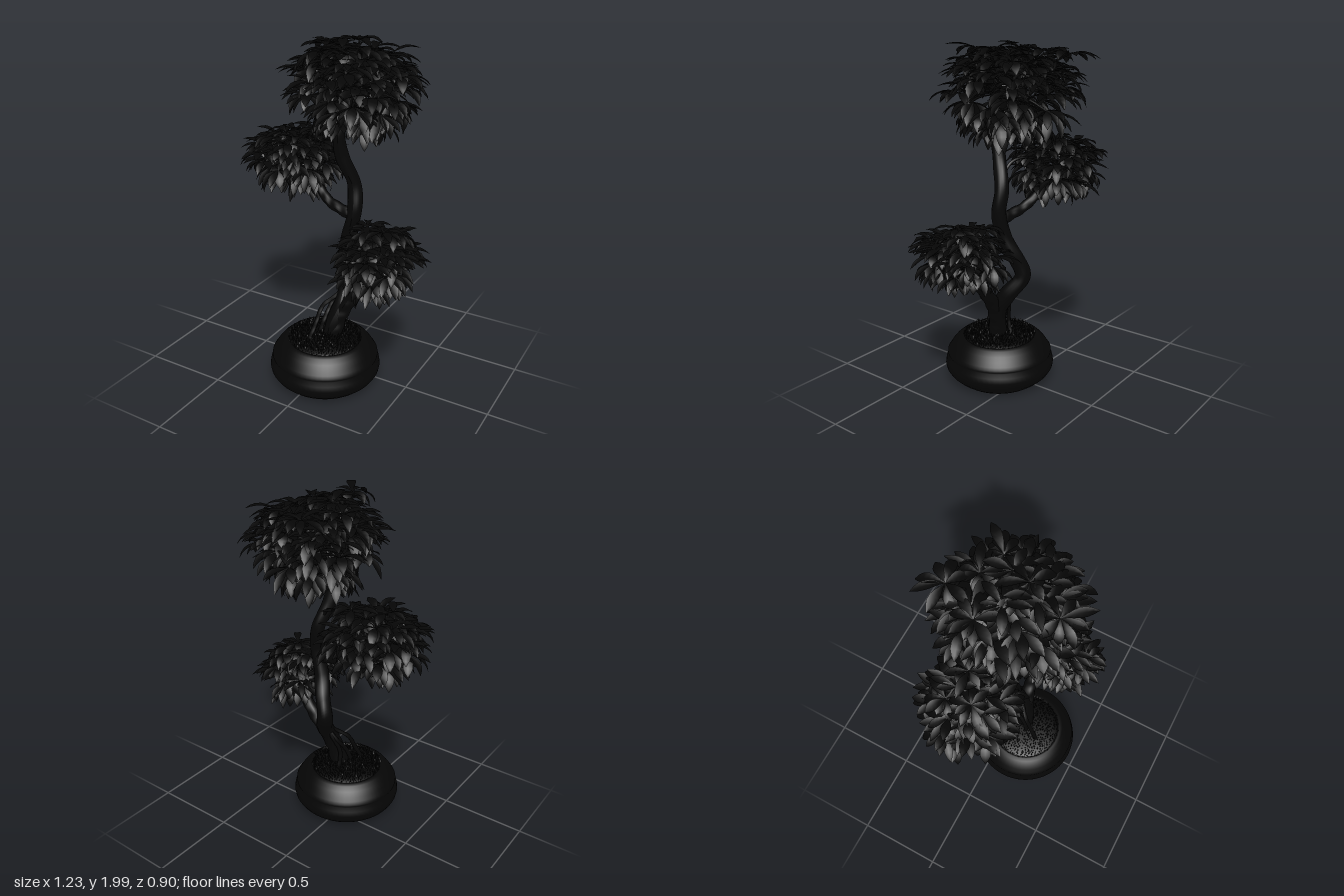
import * as THREE from 'three';

let seed = 7;
const rand = () => {
  seed = (seed * 16807) % 2147483647;
  return seed / 2147483647;
};
const vary = (a, b) => a + (b - a) * rand();
const V = (p) => new THREE.Vector3(...p);

const dark = (side = THREE.FrontSide) => new THREE.MeshStandardMaterial({ color: 0x050505, side });
const solid = dark();
const thin = dark(THREE.DoubleSide);

function add(parent, name, geometry, material = solid) {
  const mesh = new THREE.Mesh(geometry, material);
  mesh.name = name;
  parent.add(mesh);
  return mesh;
}

// Tapered, slightly knotty limb along a smooth path
function limb(points, r0, r1, seg = 48, sides = 12) {
  const curve = new THREE.CatmullRomCurve3(points.map(V));
  const geo = new THREE.TubeGeometry(curve, seg, 1, sides, false);
  const pos = geo.attributes.position, v = new THREE.Vector3();
  for (let i = 0; i <= seg; i++) {
    const t = i / seg, c = curve.getPointAt(t);
    for (let j = 0; j <= sides; j++) {
      const k = i * (sides + 1) + j;
      const knot = 1 + 0.06 * Math.sin(t * 40 + 3 * Math.sin((j / sides) * Math.PI * 2));
      v.fromBufferAttribute(pos, k).sub(c).multiplyScalar((r0 + (r1 - r0) * t) * knot).add(c);
      pos.setXYZ(k, v.x, v.y, v.z);
    }
  }
  geo.computeVertexNormals();
  return geo;
}

// Adds one arching leaf: a folded oval strip whose pitch falls from the stem to the tip
function pushLeaf(data, base, azimuth, pitch, droop, length, width) {
  const steps = 6, first = data.pos.length / 3;
  const cx = Math.cos(azimuth), cz = Math.sin(azimuth);
  let [x, y, z] = base;
  for (let i = 0; i <= steps; i++) {
    const t = i / steps, a = pitch - droop * t;
    const half = (width / 2) * Math.max(0.06, Math.sin(Math.PI * Math.pow(t, 1.25)));
    const lift = half * 0.3;
    for (const s of [-1, 0, 1]) {
      const up = s ? lift : 0;
      data.pos.push(x - cz * half * s - Math.sin(a) * cx * up, y + Math.cos(a) * up, z + cx * half * s - Math.sin(a) * cz * up);
    }
    x += (Math.cos(a) * cx * length) / steps;
    y += (Math.sin(a) * length) / steps;
    z += (Math.cos(a) * cz * length) / steps;
    if (i === steps) break;
    for (const s of [0, 1]) {
      const k = first + i * 3 + s;
      data.index.push(k, k + 1, k + 3, k + 1, k + 4, k + 3);
    }
  }
}

function surface({ pos, index }) {
  const geo = new THREE.BufferGeometry();
  geo.setAttribute('position', new THREE.Float32BufferAttribute(pos, 3));
  geo.setIndex(index);
  geo.computeVertexNormals();
  return geo;
}

// Leaf rosettes filling a flat-topped dome with a tapering underside, plus stray sprigs
function canopy(name, centre, radii, rosettes, leafSize, root, sprigs) {
  const group = new THREE.Group();
  group.name = name;
  const data = { pos: [], index: [] };
  const rosette = (p, angle, lean, low) => {
    for (let j = 0; j < 9; j++) {
      // Leaves fan around the rosette but lean away from the trunk
      const turn = ((j + 0.5) / 9) * 2 - 1;
      const spread = Math.PI * Math.sign(turn) * Math.pow(Math.abs(turn), 1 + 0.6 * lean);
      pushLeaf(data, p, angle + spread + vary(-0.25, 0.25), vary(-0.1, 0.55) - low,
        vary(0.5, 1.5), leafSize * vary(0.7, 1.2), leafSize * vary(0.3, 0.4));
    }
  };
  const twig = (p) => {
    const mid = root.map((c, k) => (c + p[k]) / 2 + (k === 1 ? 0.02 : 0));
    add(group, 'twig', limb([root, mid, p], 0.012, 0.005, 8, 5));
  };
  for (let i = 0; i < rosettes; i++) {
    const h = 1 - (1.5 * (i + 0.5)) / rosettes;
    const ring = h > 0 ? Math.sqrt(1 - h * h) : 1 + 1.2 * h;
    const angle = i * 2.39996 + vary(-0.3, 0.3);
    const depth = 1.03 - 0.5 * rand() ** 2;
    const flat = Math.sign(h) * Math.pow(Math.abs(h), 0.8);
    const p = [
      centre[0] + radii[0] * ring * Math.cos(angle) * depth,
      centre[1] + radii[1] * flat * Math.min(depth, 0.98),
      centre[2] + radii[2] * ring * Math.sin(angle) * depth,
    ];
    rosette(p, angle, ring, h < 0 ? 0.45 : 0);
    if (i % 5 === 0) twig(p);
  }
  for (const p of sprigs) {
    rosette(p, Math.atan2(p[2] - centre[2], p[0] - centre[0]), 1, 0);
    twig(p);
  }
  add(group, 'leaves', surface(data), thin);
  return group;
}

export function createModel() {
  const model = new THREE.Group();
  model.name = 'bonsaiTree';

  // Rounded bowl with a raised seam and a rolled lip
  const planter = new THREE.Group();
  planter.name = 'planter';
  planter.position.set(0.032, 0, 0.138);
  model.add(planter);
  const profile = [
    [0, 0.012], [0.2, 0.01], [0.215, 0], [0.24, 0.006], [0.268, 0.026], [0.3, 0.055], [0.319, 0.085], [0.324, 0.11],
    [0.319, 0.14], [0.306, 0.165], [0.31, 0.175], [0.309, 0.188], [0.299, 0.202], [0.285, 0.225], [0.265, 0.25],
    [0.24, 0.272], [0.222, 0.282], [0.21, 0.278], [0.203, 0.262],
  ].map(([r, y]) => new THREE.Vector2(r, y));
  add(planter, 'pot', new THREE.LatheGeometry(profile, 64), thin);
  const soil = add(planter, 'soil', new THREE.SphereGeometry(0.22, 40, 10, 0, Math.PI * 2, 0, Math.PI / 2));
  soil.scale.y = 0.2;
  soil.position.y = 0.262;

  // Short moss blades over the soil
  const moss = { pos: [], index: [] };
  for (let i = 0; i < 650; i++) {
    const r = 0.215 * Math.sqrt((i + 0.5) / 650), a = i * 2.39996;
    const y = 0.262 + 0.2 * Math.sqrt(0.22 ** 2 - r * r);
    pushLeaf(moss, [r * Math.cos(a), y, r * Math.sin(a)], vary(0, 6.28), 1.4, vary(0.1, 0.9), vary(0.015, 0.032), 0.008);
  }
  add(planter, 'moss', surface(moss), thin);

  // Winding trunk and its branches
  const wood = new THREE.Group();
  wood.name = 'wood';
  model.add(wood);
  add(wood, 'trunk', limb([
    [0.06, 0.27, 0.12], [0.08, 0.38, 0.11], [0.115, 0.49, 0.075], [0.105, 0.58, 0.02], [0.055, 0.69, -0.05], [0.08, 0.8, -0.03],
    [0.13, 0.93, 0.02], [0.16, 1.07, 0.03], [0.15, 1.22, 0.02], [0.105, 1.37, 0.07], [0.1, 1.52, 0.1], [0.11, 1.64, 0.06], [0.12, 1.76, 0],
  ], 0.052, 0.032, 120, 14));
  add(wood, 'lowerBranch', limb([
    [0.08, 0.3, 0.12], [0.11, 0.42, 0.1], [0.16, 0.52, 0.08], [0.23, 0.61, 0.07], [0.29, 0.69, 0.08], [0.35, 0.82, 0.12],
  ], 0.048, 0.03, 60));
  add(wood, 'middleBranch', limb([
    [0.16, 1.03, 0.03], [0.07, 1.05, 0.02], [-0.02, 1.075, 0], [-0.1, 1.13, -0.03], [-0.2, 1.2, -0.05], [-0.26, 1.28, -0.05],
  ], 0.034, 0.02));
  add(wood, 'sideTwig', limb([[0.13, 1.28, 0.03], [0.07, 1.35, 0.01], [-0.02, 1.365, -0.02], [-0.12, 1.34, -0.04]], 0.01, 0.006, 20, 6));

  // Slender aerial roots beside the trunk
  const roots = [
    [[-0.02, 0.28, 0.24], [0.0, 0.38, 0.19], [0.02, 0.48, 0.14], [0.07, 0.53, 0.09], [0.11, 0.58, 0.04]],
    [[0.0, 0.28, 0.16], [0.02, 0.38, 0.13], [0.04, 0.48, 0.06], [0.09, 0.56, 0.03]],
    [[0.03, 0.28, 0.05], [0.03, 0.4, 0.07], [0.06, 0.5, 0.04], [0.1, 0.58, 0.02]],
  ];
  for (const path of roots) add(wood, 'aerialRoot', limb(path, 0.014, 0.011, 30, 7));

  // Three leafy crowns
  model.add(canopy('topCrown', [0.12, 1.7, -0.02], [0.27, 0.27, 0.26], 95, 0.155, [0.12, 1.72, 0],
    [[0.0, 1.93, -0.3], [0.08, 1.95, 0.24], [-0.1, 1.93, -0.1]]));
  model.add(canopy('middleCrown', [-0.27, 1.26, -0.05], [0.2, 0.18, 0.2], 56, 0.14, [-0.26, 1.27, -0.05],
    [[-0.17, 1.45, -0.11], [-0.48, 1.33, -0.08]]));
  model.add(canopy('lowerCrown', [0.36, 0.84, 0.13], [0.145, 0.18, 0.2], 54, 0.135, [0.35, 0.81, 0.12],
    [[0.39, 0.92, 0.34], [0.26, 1.0, 0.06]]));
  return model;
}
